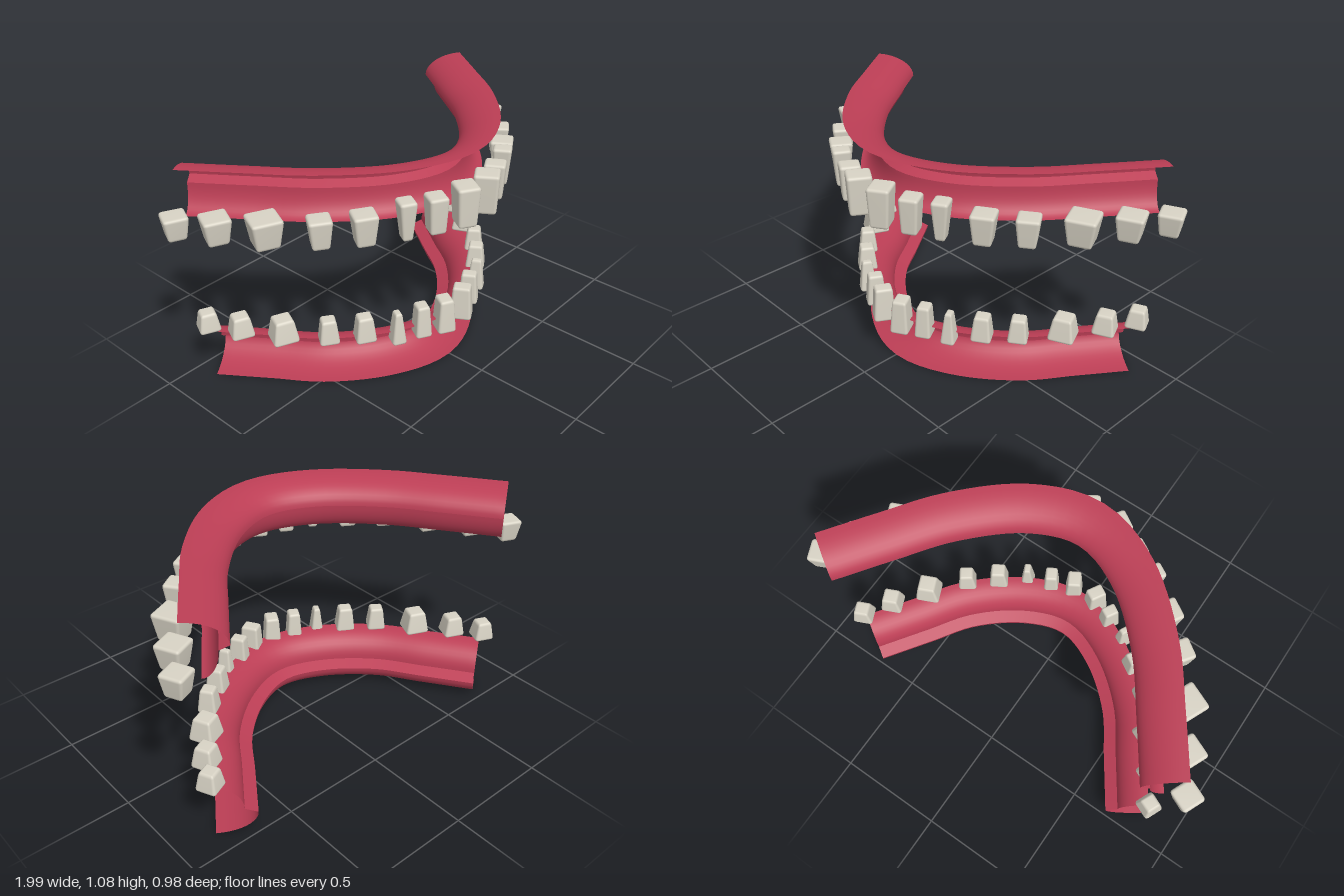
import * as THREE from 'three';
import { mergeVertices } from 'three/addons/utils/BufferGeometryUtils.js';
import { RoundedBoxGeometry } from 'three/addons/geometries/RoundedBoxGeometry.js';

const gumMat = new THREE.MeshStandardMaterial({ color: 0xbc3e55, side: THREE.DoubleSide });
gumMat.name = 'gumRed';
const toothMat = new THREE.MeshStandardMaterial({ color: 0xd8d3c5 });
toothMat.name = 'toothIvory';

// Smooth horseshoe curve through a half outline [x, z], mirrored on x
function archCurve(half) {
  const left = half.slice(1).reverse().map(([x, z]) => [-x, z]);
  return new THREE.CatmullRomCurve3([...left, ...half].map(([x, z]) => new THREE.Vector3(x, 0, z)));
}

// Quarter ellipse from (outer, yFlat) to (inner, yWall), as [offset, y]
function quarter(outer, yFlat, inner, yWall, n = 10) {
  return Array.from({ length: n + 1 }, (_, i) => {
    const a = (i / n) * Math.PI / 2;
    return [outer - (outer - inner) * Math.sin(a), yWall + (yFlat - yWall) * Math.cos(a)];
  });
}

// Sweep an open profile along the arch, offset outward
function sweep(curve, profile, steps = 48) {
  const pos = [], index = [], n = profile.length;
  for (let i = 0; i <= steps; i++) {
    const p = curve.getPointAt(i / steps), t = curve.getTangentAt(i / steps);
    for (const [d, y] of profile) pos.push(p.x - t.z * d, y, p.z + t.x * d);
    if (i === steps) break;
    for (let j = 0; j < n - 1; j++) {
      const a = i * n + j, b = a + n;
      index.push(a, a + 1, b, b, a + 1, b + 1);
    }
  }
  const g = new THREE.BufferGeometry();
  g.setAttribute('position', new THREE.Float32BufferAttribute(pos, 3));
  g.setIndex(index);
  g.computeVertexNormals();
  return g;
}

function gum(name, half, profiles) {
  const group = new THREE.Group(), curve = archCurve(half);
  group.name = name;
  profiles.forEach(([part, profile]) => {
    const m = new THREE.Mesh(sweep(curve, profile), gumMat);
    m.name = part;
    group.add(m);
  });
  return group;
}

// Rounded block narrowing from the gum end to the biting end
function toothGeometry(w, h, d, tipW, tipD, tipUp) {
  let g = new RoundedBoxGeometry(w, h, d, 2, 0.014);
  const p = g.attributes.position;
  for (let i = 0; i < p.count; i++) {
    const k = THREE.MathUtils.clamp(0.5 + (tipUp ? 1 : -1) * p.getY(i) / h, 0, 1);
    const s = Math.pow(k, 1.3);
    p.setX(i, p.getX(i) * (1 - (1 - tipW) * s));
    p.setZ(i, p.getZ(i) * (1 - (1 - tipD) * s));
  }
  g.deleteAttribute('normal');
  g.deleteAttribute('uv');
  g = mergeVertices(g, 1e-5);
  g.computeVertexNormals();
  return g;
}

// Each row: x, z, width, depth, gum-end y, yaw in degrees, tip width and depth ratios
function teeth(name, rows, biteY) {
  const group = new THREE.Group();
  group.name = name;
  rows.forEach(([x, z, w, d, gumY, yaw, tipW, tipD], i) => {
    const g = toothGeometry(w, Math.abs(biteY - gumY), d, tipW, tipD, biteY > gumY);
    for (const side of [1, -1]) {
      const m = new THREE.Mesh(g, toothMat);
      m.position.set(side * x, (biteY + gumY) / 2, z);
      m.rotation.y = side * THREE.MathUtils.degToRad(yaw);
      m.name = `${name}${side > 0 ? 'Left' : 'Right'}${i + 1}`;
      group.add(m);
    }
  });
  return group;
}

export function createModel() {
  const model = new THREE.Group();
  model.name = 'jaws';

  // Upper gum: overhanging roof, small ledge and flared lower wall
  model.add(gum('upperGum',
    [[0, 0.23], [0.21, 0.158], [0.44, -0.045], [0.6, -0.26], [0.76, -0.485]], [
      ['upperGumRoof', quarter(0.18, 1.075, 0, 0.97)],
      ['upperGumLedge', [[0, 0.97], [0.042, 0.95]]],
      ['upperGumWall', quarter(0.11, 0.83, 0.042, 0.95)],
    ]));

  // Lower gum: flared base, small ledge and curled upper rim
  model.add(gum('lowerGum',
    [[0, 0.13], [0.19, 0.066], [0.39, -0.095], [0.52, -0.28], [0.67, -0.495]], [
      ['lowerGumBase', quarter(0.18, 0, 0, 0.105)],
      ['lowerGumLedge', [[0, 0.105], [0.056, 0.128]]],
      ['lowerGumRim', quarter(0.19, 0.25, 0.056, 0.128)],
    ]));

  // Teeth from the middle to the back
  model.add(teeth('upperTooth', [
    [0.073, 0.42, 0.1, 0.11, 0.962, 32, 0.8, 0.85],
    [0.2, 0.37, 0.085, 0.095, 0.945, 30, 0.8, 0.8],
    [0.325, 0.318, 0.075, 0.085, 0.955, 30, 0.55, 0.65],
    [0.463, 0.218, 0.105, 0.105, 0.918, 32, 0.7, 0.7],
    [0.597, 0.103, 0.1, 0.1, 0.91, 35, 0.7, 0.7],
    [0.733, -0.068, 0.133, 0.133, 0.907, 24, 0.72, 0.72],
    [0.843, -0.235, 0.118, 0.118, 0.895, 24, 0.7, 0.7],
    [0.93, -0.385, 0.106, 0.106, 0.884, 24, 0.7, 0.7],
  ], 0.778));
  model.add(teeth('lowerTooth', [
    [0.064, 0.322, 0.085, 0.1, 0.19, 30, 0.75, 0.8],
    [0.172, 0.28, 0.075, 0.09, 0.2, 30, 0.75, 0.75],
    [0.286, 0.237, 0.066, 0.078, 0.2, 28, 0.45, 0.6],
    [0.4, 0.147, 0.092, 0.092, 0.234, 32, 0.7, 0.7],
    [0.52, 0.045, 0.089, 0.089, 0.24, 35, 0.7, 0.7],
    [0.645, -0.108, 0.117, 0.117, 0.246, 24, 0.68, 0.68],
    [0.752, -0.262, 0.103, 0.103, 0.256, 24, 0.68, 0.68],
    [0.827, -0.392, 0.096, 0.096, 0.264, 24, 0.68, 0.68],
  ], 0.357));
  return model;
}
